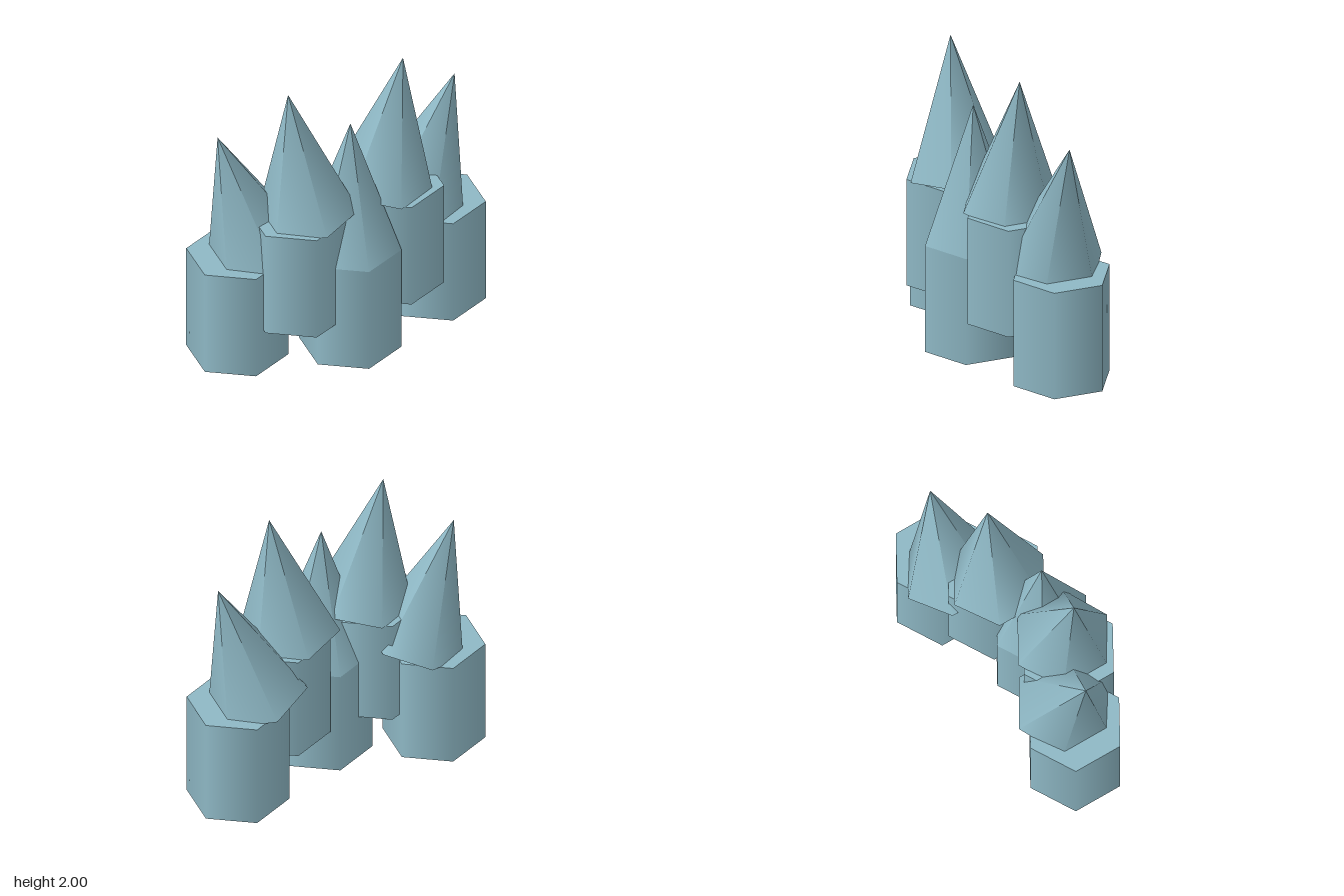
import * as THREE from 'three';

const RADIUS = 0.333, DRUM_HEIGHT = 0.747, SPIKE_HEIGHT = 0.94, SIDES = 6;

export function createModel() {
  const group = new THREE.Group();
  group.name = 'spikeCluster';
  const material = new THREE.MeshStandardMaterial({ color: 0x8fb9c6 });
  const drumGeometry = new THREE.CylinderGeometry(RADIUS, RADIUS, DRUM_HEIGHT, SIDES);
  const spikeGeometry = new THREE.ConeGeometry(RADIUS, SPIKE_HEIGHT, SIDES);
  // put the spike's pivot at the centre of its base
  spikeGeometry.translate(0, SPIKE_HEIGHT / 2, 0);

  // each tower: hexagonal drum with a spike that leans outwards by tilt
  const towers = [
    { name: 'rightOuter', x: -0.708, z: -0.018, bottom: 0, spikeX: -0.567, spikeY: 0.771, tilt: 0.3 },
    { name: 'rightInner', x: -0.354, z: 0.148, bottom: 0.318, spikeX: -0.283, spikeY: 1.07, tilt: 0.15 },
    { name: 'centre', x: 0, z: 0.162, bottom: 0, spikeX: 0, spikeY: 0.747, tilt: 0 },
    { name: 'leftInner', x: 0.351, z: 0.01, bottom: 0.318, spikeX: 0.28, spikeY: 1.07, tilt: -0.15 },
    { name: 'leftOuter', x: 0.705, z: -0.165, bottom: 0, spikeX: 0.565, spikeY: 0.771, tilt: -0.3 },
  ];

  for (const t of towers) {
    const drum = new THREE.Mesh(drumGeometry, material);
    drum.name = t.name + 'Drum';
    drum.position.set(t.x, t.bottom + DRUM_HEIGHT / 2, t.z);

    const spike = new THREE.Mesh(spikeGeometry, material);
    spike.name = t.name + 'Spike';
    spike.position.set(t.spikeX, t.spikeY, t.z);
    spike.rotation.z = t.tilt;

    group.add(drum, spike);
  }
  return group;
}
